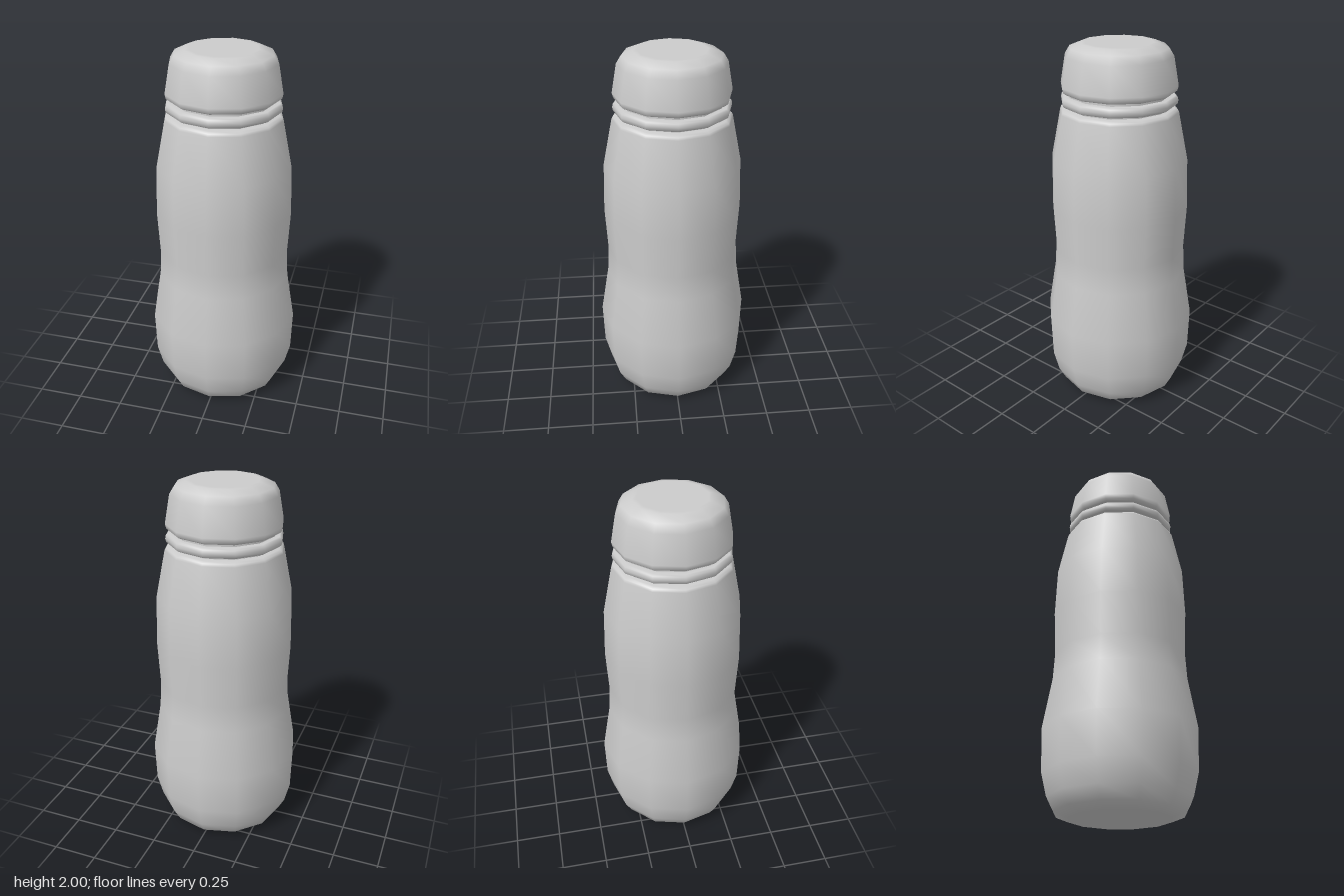
import * as THREE from 'three';

const material = new THREE.MeshStandardMaterial({ color: 0xcccccc });

// Twelve-sided turned part; profile is [radius, height] from bottom to top
function turned(name, profile) {
  const points = profile.map(([r, y]) => new THREE.Vector2(r, y));
  const mesh = new THREE.Mesh(new THREE.LatheGeometry(points, 12), material);
  mesh.name = name;
  return mesh;
}

export function createModel() {
  const group = new THREE.Group();
  group.name = 'bottle';

  // Body with a narrow waist, closed at the base and shoulder
  group.add(turned('body', [
    [0, 0], [0.26, 0], [0.28, 0.004], [0.345, 0.03], [0.382, 0.1], [0.412, 0.22],
    [0.419, 0.455], [0.373, 0.73], [0.365, 0.88], [0.377, 1.12],
    [0.368, 1.39], [0.316, 1.645], [0.31, 1.658], [0.295, 1.667], [0.26, 1.67],
  ]));

  // Neck hidden behind the collar ring
  group.add(turned('neck', [[0.27, 1.65], [0.27, 1.78]]));

  // Rounded collar ring between body and cap
  group.add(turned('collarRing', [
    [0.265, 1.682], [0.295, 1.682], [0.306, 1.69], [0.31, 1.708],
    [0.306, 1.726], [0.295, 1.734], [0.265, 1.734],
  ]));

  // Domed cap with a rolled lower lip
  group.add(turned('cap', [
    [0.26, 1.748], [0.29, 1.75], [0.303, 1.76], [0.309, 1.785],
    [0.282, 1.935], [0.257, 1.975], [0.2, 1.998], [0.18, 2], [0, 2],
  ]));

  return group;
}
